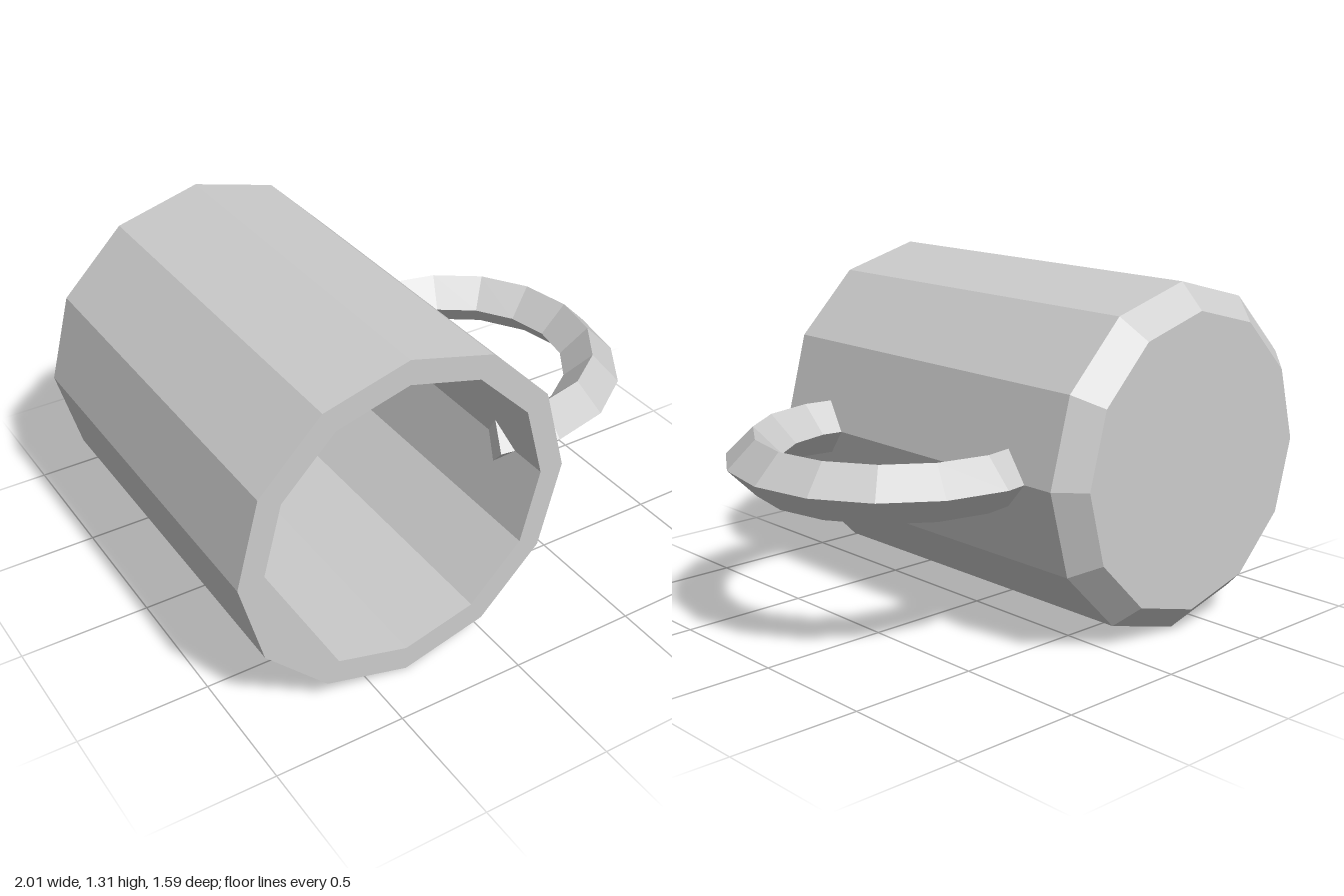
import * as THREE from 'three';

const AXIS_X = -0.35, AXIS_Y = 0.655;

export function createModel() {
  const model = new THREE.Group();
  model.name = 'mug';
  const material = new THREE.MeshStandardMaterial({ color: 0xcccccc, flatShading: true });

  // Cup lying on its side: chamfered base at the back, open mouth at the front
  const profile = [
    [0, -0.795], [0.56, -0.795], [0.655, -0.7], [0.655, 0.795],
    [0.56, 0.795], [0.56, -0.7], [0, -0.7],
  ].map(([r, h]) => new THREE.Vector2(r, h));
  const cup = new THREE.Mesh(new THREE.LatheGeometry(profile, 12).rotateX(Math.PI / 2), material);
  cup.name = 'cup';
  cup.position.set(AXIS_X, AXIS_Y, 0);
  model.add(cup);

  // Handle: a capped four-sided bar bent into an arc whose ends pass through the wall
  const arc = THREE.MathUtils.degToRad(220);
  const bar = new THREE.CylinderGeometry(0.105, 0.105, 1, 4, 10);
  const pos = bar.attributes.position;
  for (let i = 0; i < pos.count; i++) {
    const angle = pos.getY(i) * arc;
    const radius = 0.525 + pos.getX(i);
    pos.setXYZ(i, radius * Math.cos(angle), pos.getZ(i), -radius * Math.sin(angle));
  }
  bar.computeVertexNormals();
  const handle = new THREE.Mesh(bar, material);
  handle.name = 'handle';
  handle.position.set(0.37, AXIS_Y, 0.043);
  model.add(handle);

  return model;
}
